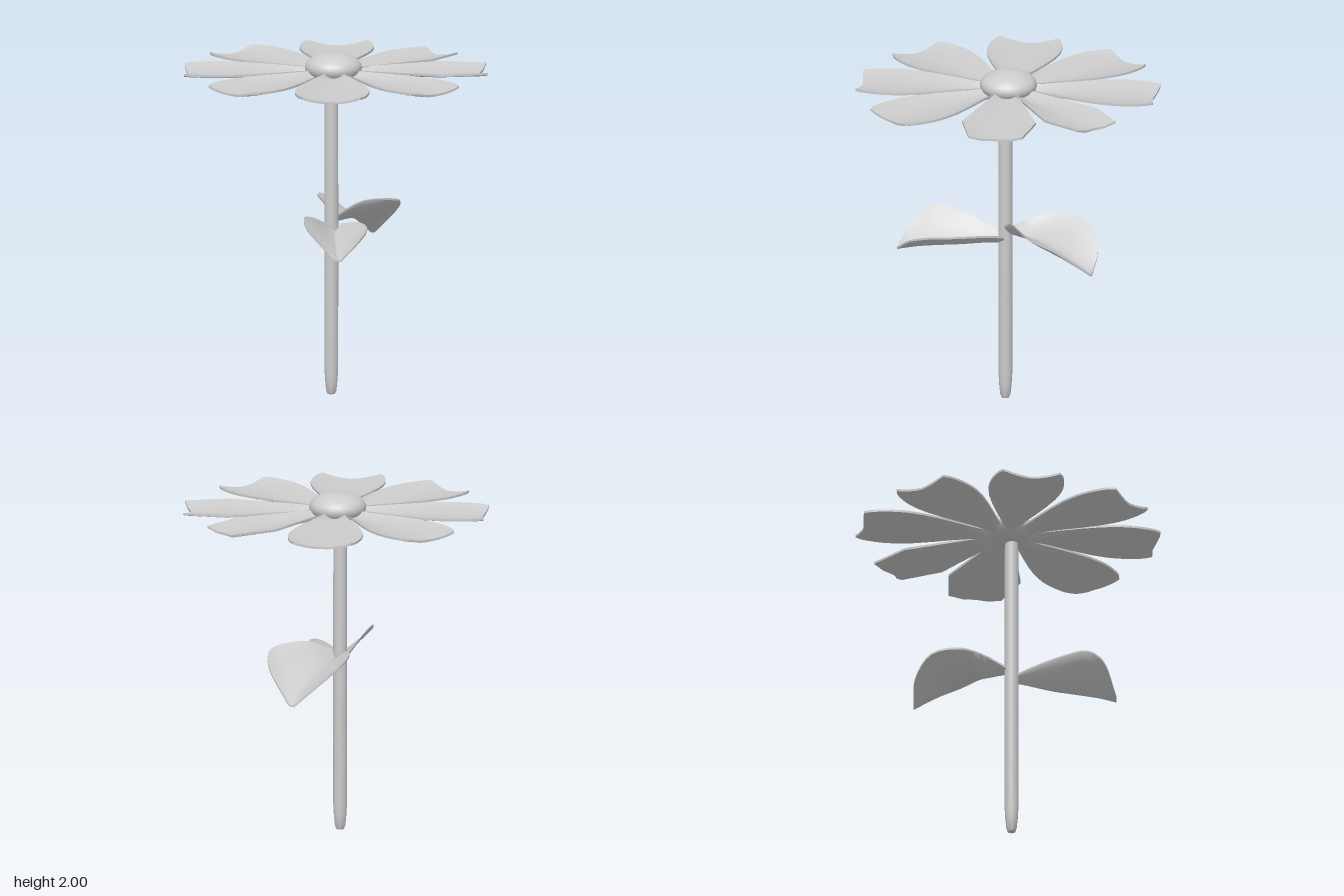
import * as THREE from 'three';
import { toCreasedNormals } from 'three/addons/utils/BufferGeometryUtils.js';

const material = new THREE.MeshStandardMaterial({ color: 0xcccccc, side: THREE.DoubleSide });

function addMesh(parent, name, geometry) {
  const mesh = new THREE.Mesh(geometry, material);
  mesh.name = name;
  parent.add(mesh);
  return mesh;
}

// Thin closed sheet: surface(u, v) gives the upper face, u in 0..1, v in -1..1.
function sheet(surface, uSteps, vSteps, thickness) {
  const pos = [], index = [];
  const ring = 2 * (vSteps + 1);
  for (let i = 0; i <= uSteps; i++) {
    for (let k = 0; k < ring; k++) {
      const under = k > vSteps;
      const j = under ? ring - 1 - k : k;
      const p = surface(i / uSteps, (2 * j) / vSteps - 1);
      pos.push(p.x, p.y - (under ? thickness : 0), p.z);
    }
  }
  for (let i = 0; i < uSteps; i++) {
    for (let k = 0; k < ring; k++) {
      const k1 = (k + 1) % ring;
      const a = i * ring + k, b = i * ring + k1;
      index.push(a, b, a + ring, b, b + ring, a + ring);
    }
  }
  // Close the root and the tip
  const end = uSteps * ring;
  for (let j = 0; j < vSteps; j++) {
    const t = j, t1 = j + 1, b = ring - 1 - j, b1 = ring - 2 - j;
    index.push(t, b, t1, t1, b, b1);
    index.push(end + t, end + t1, end + b, end + t1, end + b1, end + b);
  }
  const geometry = new THREE.BufferGeometry();
  geometry.setAttribute('position', new THREE.Float32BufferAttribute(pos, 3));
  geometry.setIndex(index);
  return toCreasedNormals(geometry, 0.8);
}

// Piecewise linear lookup in [u, value] pairs
function lookup(pairs, u) {
  for (let i = 1; i < pairs.length; i++) {
    const [u0, w0] = pairs[i - 1], [u1, w1] = pairs[i];
    if (u <= u1) return w0 + ((w1 - w0) * (u - u0)) / (u1 - u0);
  }
  return pairs[pairs.length - 1][1];
}

// Cupped petal along +x with a notched tip
function petalGeometry(widths, tip, notch, uSteps, vSteps) {
  const root = 0.1;
  return sheet((u, v) => {
    const length = notch + (tip - notch) * Math.min(1, Math.abs(v) * 1.15);
    return new THREE.Vector3(
      root + u * (length - root),
      1.876 + 0.029 * v * v,
      v * lookup(widths, u)
    );
  }, uSteps, vSteps, 0.013);
}

// Trough-shaped leaf spanned between two edges and a midrib
function leafGeometry(edgeA, midrib, edgeB) {
  const [a, m, b] = [edgeA, midrib, edgeB].map(
    (pts) => new THREE.CatmullRomCurve3(pts.map((p) => new THREE.Vector3(...p)))
  );
  return sheet((u, v) => {
    const t = Math.abs(v);
    const p = m.getPoint(u).lerp((v < 0 ? a : b).getPoint(u), t);
    p.y -= 0.06 * t * (1 - t) * Math.sin(Math.PI * u);
    return p;
  }, 20, 10, 0.012);
}

export function createModel() {
  const flower = new THREE.Group();
  flower.name = 'flower';

  // Stem, tapered at the foot
  const profile = [[0, 0], [0.022, 0], [0.03, 0.02], [0.036, 0.08], [0.04, 0.15],
    [0.041, 1.0], [0.039, 1.8], [0.036, 1.87], [0, 1.87]];
  const stem = addMesh(flower, 'stem', toCreasedNormals(
    new THREE.LatheGeometry(profile.map((p) => new THREE.Vector2(...p)), 20), 0.8));
  stem.position.x = -0.03;

  // Flower centre
  const centre = addMesh(flower, 'flowerCentre', new THREE.SphereGeometry(1, 28, 18));
  centre.scale.set(0.165, 0.087, 0.165);
  centre.position.set(-0.008, 1.913, -0.005);

  // Eight petals: two angular ones, six rounded ones
  const petals = new THREE.Group();
  petals.name = 'petals';
  petals.position.x = -0.005;
  flower.add(petals);
  const rounded = petalGeometry(
    [[0, 0.045], [0.12, 0.068], [0.25, 0.11], [0.4, 0.155], [0.55, 0.193], [0.68, 0.213],
      [0.78, 0.215], [0.88, 0.205], [0.95, 0.19], [1, 0.165]], 0.865, 0.845, 20, 12);
  const angular = petalGeometry(
    [[0, 0.045], [0.33, 0.115], [2 / 3, 0.185], [1, 0.135]], 0.855, 0.815, 3, 4);
  for (let i = 0; i < 8; i++) {
    const plain = i < 2;
    const petal = addMesh(petals, plain ? 'angularPetal' : 'roundedPetal', plain ? angular : rounded);
    petal.rotation.y = (-i * Math.PI) / 4 + (i === 1 ? 0.06 : i === 4 ? 0.025 : 0);
    if (i === 1) petal.scale.set(1.03, 1, 1.15);
  }

  // Two leaves on opposite sides of the stem
  addMesh(flower, 'leftLeaf', leafGeometry(
    [[-0.02, 1.04, -0.04], [0.05, 1.09, -0.14], [0.13, 1.11, -0.28],
      [0.27, 1.08, -0.37], [0.42, 0.97, -0.33], [0.5, 0.855, -0.23]],
    [[0, 1.02, 0], [0.1, 1.01, -0.04], [0.2, 1.0, -0.08],
      [0.31, 0.97, -0.12], [0.42, 0.91, -0.17], [0.515, 0.855, -0.21]],
    [[0, 1.06, 0.03], [0.13, 1.12, 0.08], [0.26, 1.125, 0.12],
      [0.38, 1.105, 0.13], [0.48, 1.04, 0.03], [0.52, 0.87, -0.19]]));
  addMesh(flower, 'rightLeaf', leafGeometry(
    [[0.01, 1.0, 0.04], [0, 1.03, 0.18], [-0.06, 1.035, 0.32],
      [-0.17, 1.025, 0.43], [-0.3, 0.985, 0.49], [-0.42, 0.91, 0.49]],
    [[-0.02, 0.965, 0.02], [-0.11, 0.955, 0.11], [-0.2, 0.945, 0.21],
      [-0.29, 0.935, 0.31], [-0.37, 0.92, 0.4], [-0.43, 0.905, 0.48]],
    [[-0.04, 0.99, 0], [-0.16, 1.04, 0.05], [-0.3, 1.09, 0.12],
      [-0.43, 1.115, 0.19], [-0.485, 1.07, 0.27], [-0.45, 0.92, 0.45]]));

  return flower;
}
